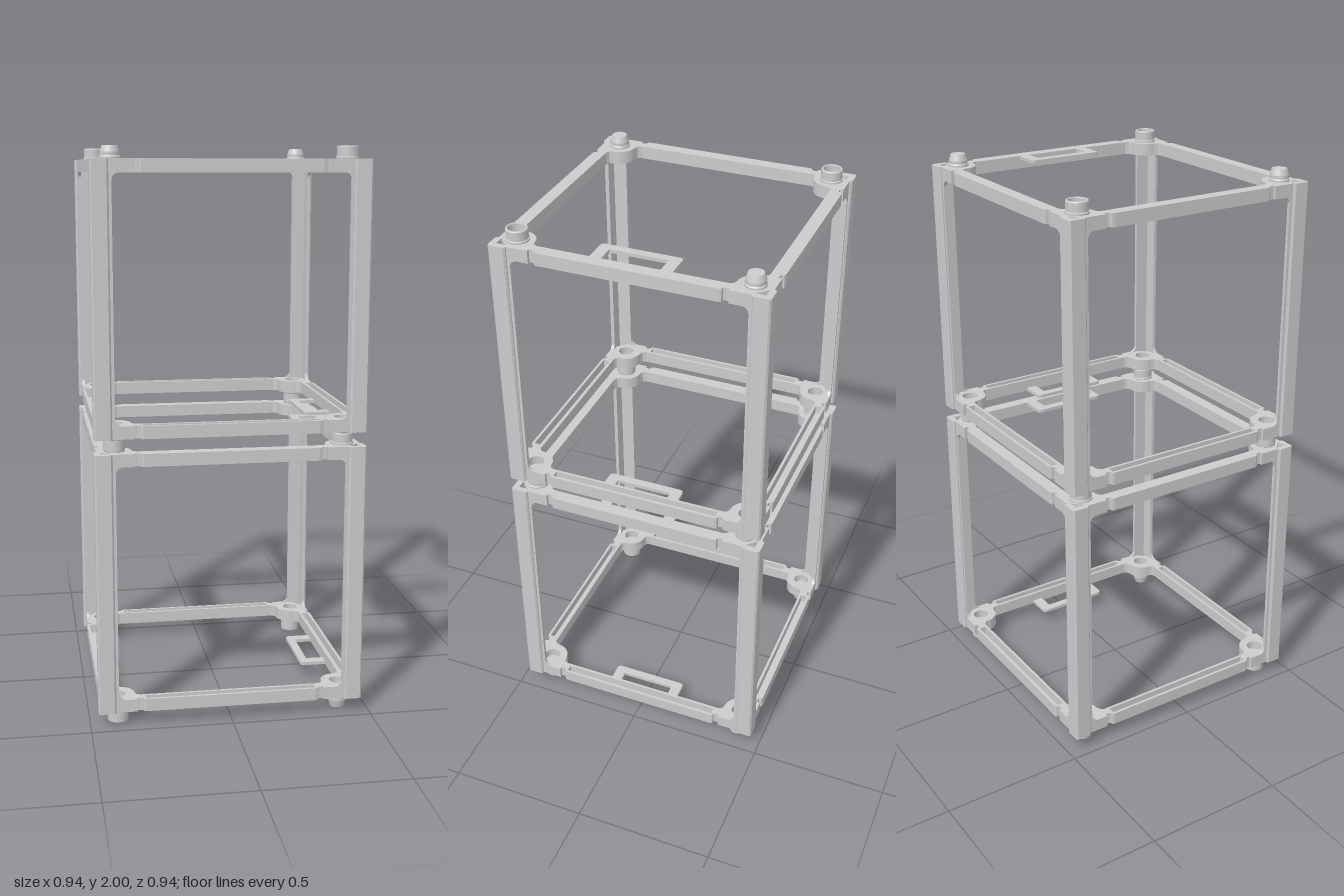
import * as THREE from 'three';

const mat = new THREE.MeshStandardMaterial({ color: 0xcccccc });
const H = 0.927, RING = 0.045, PLATE = 0.012, PIN = 0.4;
const V = (x, y) => new THREE.Vector2(x, y);

function mesh(geo, name, parent) {
  const m = new THREE.Mesh(geo, mat);
  m.name = name;
  parent.add(m);
  return m;
}

// Extrude a plan outline (shape y = world z) between two heights
function slab(shape, y0, y1) {
  const g = new THREE.ExtrudeGeometry(shape, { depth: y1 - y0, bevelEnabled: false, curveSegments: 24 });
  return g.rotateX(Math.PI / 2).translate(0, y1, 0);
}

function quarterTurn(points, k) {
  return points.map(p => p.clone().rotateAround(V(0, 0), k * Math.PI / 2));
}

// Outer and inner edge of one frame corner
const outer = [[0.465, 0.305], [0.462, 0.313], [0.452, 0.315], [0.45, 0.322], [0.45, 0.415],
  [0.415, 0.45], [0.322, 0.45], [0.315, 0.452], [0.313, 0.462], [0.305, 0.465]].map(p => V(...p));
const inner = [V(0.42, 0.305), V(0.42, 0.322), V(0.414, 0.335)];
for (let i = 0; i <= 10; i++) {
  const a = -Math.PI / 2 - i * Math.PI / 20;
  inner.push(V(PIN + 0.06 * Math.cos(a), PIN + 0.06 * Math.sin(a)));
}
inner.push(V(0.335, 0.414), V(0.322, 0.42), V(0.305, 0.42));

// Frame built with its outside face at y = 0 and its channel opening downwards
function makeFrame(name, socketParity, pinHeight) {
  const g = new THREE.Group();
  g.name = name;
  const out = [], inn = [];
  for (let k = 0; k < 4; k++) {
    out.push(...quarterTurn(outer, k));
    inn.push(...quarterTurn(inner, k));
  }
  const plate = new THREE.Shape(out);
  plate.holes.push(new THREE.Path(inn));
  mesh(slab(plate, -PLATE, 0), 'framePlate', g);

  // Thin loop on the left rail
  const tab = new THREE.Shape([[0.421, -0.14], [0.337, -0.14], [0.328, -0.136], [0.325, -0.127],
    [0.325, 0.127], [0.328, 0.136], [0.337, 0.14], [0.421, 0.14], [0.421, 0.1],
    [0.355, 0.1], [0.355, -0.1], [0.421, -0.1]].map(p => V(...p)));
  mesh(slab(tab, -PLATE, 0), 'tabLoop', g);

  for (let k = 0; k < 4; k++) {
    const side = new THREE.Group();
    side.name = 'frameSide';
    side.rotation.y = -k * Math.PI / 2;
    g.add(side);
    // Channel walls of the rail
    for (const x of [0.425, 0.46]) {
      const wall = mesh(new THREE.BoxGeometry(0.01, RING - PLATE, 0.61), 'railWall', side);
      wall.position.set(x, -(RING + PLATE) / 2, 0);
    }
    // Corner block with a blind bore
    const block = new THREE.Shape([...outer, ...inner.slice().reverse()]);
    const bore = new THREE.Path();
    bore.absarc(PIN, PIN, 0.029, 0, Math.PI * 2, true);
    block.holes.push(bore);
    mesh(slab(block, -RING, -PLATE), 'cornerBlock', side);

    // Alternating sockets and tapered pegs
    const h = pinHeight;
    const socket = k % 2 === socketParity;
    const profile = socket
      ? [[0.04, 0], [0.04, 0.006], [0.037, 0.008], [0.037, h - 0.003], [0.035, h], [0.03, h], [0.029, h - 0.003], [0.029, 0.002], [0, 0.002]]
      : [[0.036, 0], [0.036, 0.006], [0.033, 0.01], [0.033, h * 0.5], [0.026, h], [0, h]];
    // Split the profile into straight bands so the rims stay crisp
    const pin = new THREE.Group();
    pin.name = socket ? 'socket' : 'peg';
    pin.position.set(PIN, 0, PIN);
    side.add(pin);
    for (let i = 0; i + 1 < profile.length; i++) {
      mesh(new THREE.LatheGeometry([V(...profile[i]), V(...profile[i + 1])], 32), 'pinBand', pin);
    }
  }
  return g;
}

// Corner post: an angle section plus two thin flanges with feet
function makePost() {
  const g = new THREE.Group();
  g.name = 'cornerPost';
  const angle = new THREE.Shape([[0.41, 0.452], [0.452, 0.452], [0.452, 0.41], [0.466, 0.41], [0.472, 0.416],
    [0.472, 0.466], [0.466, 0.472], [0.416, 0.472], [0.41, 0.466]].map(p => V(...p)));
  mesh(slab(angle, 0, H), 'angleBar', g);

  const s = new THREE.Shape();
  const r = 0.025, x = 0.4, foot = 0.335;
  s.moveTo(0.455, 0);
  s.lineTo(0.455, H);
  s.lineTo(foot, H);
  s.lineTo(foot, H - RING);
  s.lineTo(x - r, H - RING);
  s.absarc(x - r, H - RING - r, r, Math.PI / 2, 0, true);
  s.lineTo(x, RING + r);
  s.absarc(x - r, RING + r, r, 0, -Math.PI / 2, true);
  s.lineTo(foot, RING);
  s.lineTo(foot, 0);
  const flange = () => new THREE.ExtrudeGeometry(s, { depth: 0.012, bevelEnabled: false, curveSegments: 8 })
    .translate(0, 0, 0.45);
  mesh(flange(), 'frontFlange', g);
  // Same flange turned onto the neighbouring face
  mesh(flange().rotateY(Math.PI / 2).scale(1, 1, 1).translate(0, 0, 0), 'sideFlange', g).rotation.y = 0;
  g.children[2].position.z = 0;
  g.children[2].geometry.rotateX(Math.PI).translate(0, H, 0);
  return g;
}

function makeCell(name) {
  const cell = new THREE.Group();
  cell.name = name;
  const top = makeFrame('topFrame', 0, 0.042);
  top.position.y = H;
  // The bottom frame is the top frame flipped about the x axis
  const bottom = makeFrame('bottomFrame', 0, 0.051);
  bottom.rotation.x = Math.PI;
  cell.add(top, bottom);
  for (let k = 0; k < 4; k++) {
    const post = makePost();
    post.rotation.y = k * Math.PI / 2;
    cell.add(post);
  }
  return cell;
}

export function createModel() {
  const model = new THREE.Group();
  model.name = 'stackedFrame';
  const lower = makeCell('lowerCell');
  lower.position.y = 0.053;
  const upper = makeCell('upperCell');
  upper.position.y = 1.031;
  model.add(lower, upper);
  return model;
}
